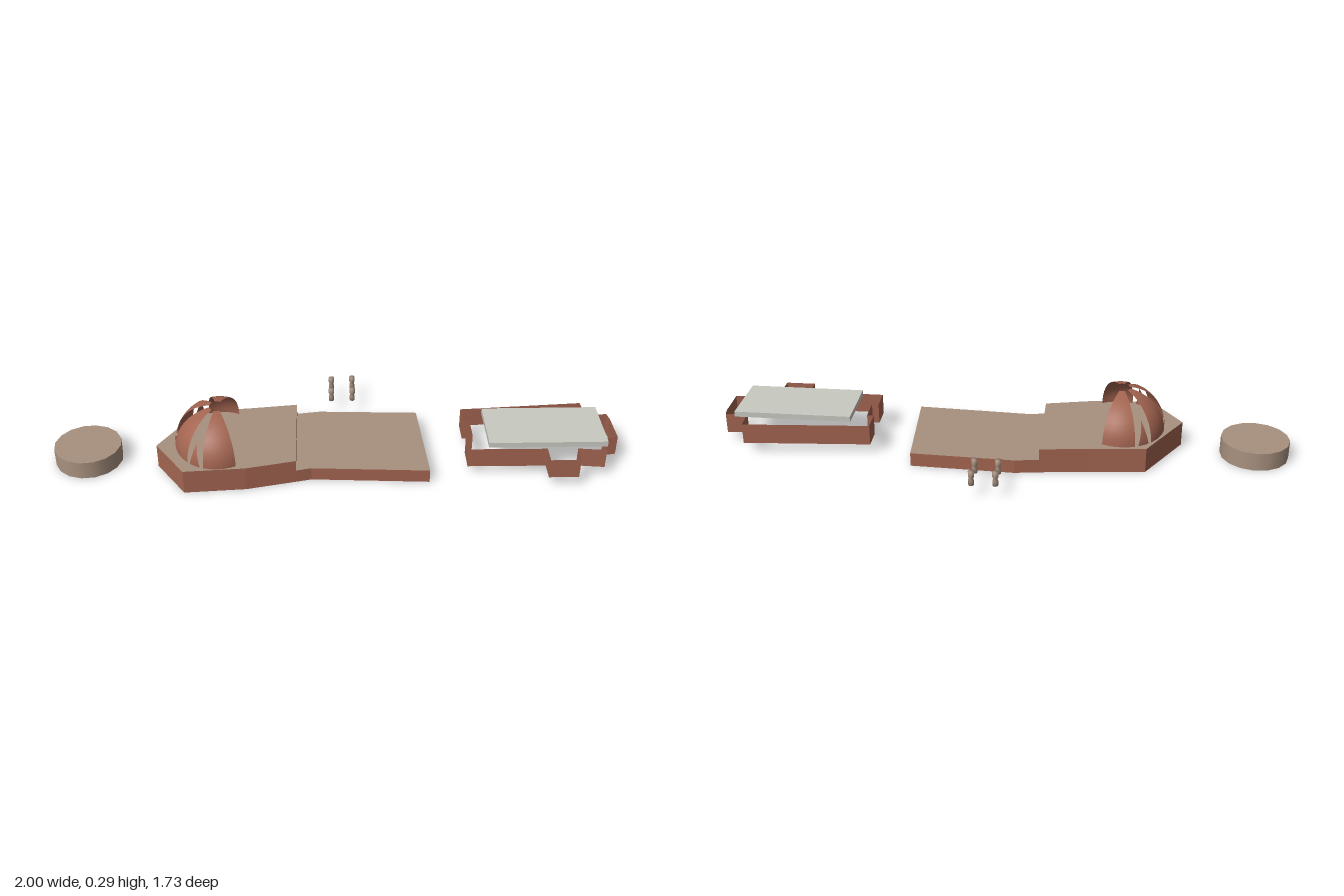
import * as THREE from 'three';

const mat = (name, color, opts = {}) => {
  const m = new THREE.MeshStandardMaterial({ color, side: THREE.DoubleSide, ...opts });
  m.name = name;
  return m;
};

export function createModel() {
  const root = new THREE.Group();
  const brick = mat('brick red', 0xa26450);
  const stone = mat('tan stone', 0xa8917f);
  const slab = mat('pale slab', 0xc8c9c1);
  const slate = mat('dark slate', 0x2e353f, { flatShading: true });

  const add = (name, geo, material, parent = root) => {
    const m = new THREE.Mesh(geo, material);
    m.name = name;
    parent.add(m);
    return m;
  };

  // Flat horizontal polygon at height y, facing up
  const deck = (pts, y) => {
    const shape = new THREE.Shape(pts.map(([x, z]) => new THREE.Vector2(x, -z)));
    return new THREE.ShapeGeometry(shape).rotateX(-Math.PI / 2).translate(0, y, 0);
  };

  // Thin vertical wall that follows a plan outline
  const wall = (pts, y0, y1, closed = true) => {
    const pos = [];
    const n = closed ? pts.length : pts.length - 1;
    for (let i = 0; i < n; i++) {
      const [ax, az] = pts[i], [bx, bz] = pts[(i + 1) % pts.length];
      pos.push(ax, y0, az, ax, y1, az, bx, y1, bz, ax, y0, az, bx, y1, bz, bx, y0, bz);
    }
    const g = new THREE.BufferGeometry();
    g.setAttribute('position', new THREE.Float32BufferAttribute(pos, 3));
    g.computeVertexNormals();
    return g;
  };

  // Two stepped terraces, open underneath
  const stepA = [0.02, -0.32], stepB = [-0.265, 0.02];
  const upper = [stepB, [-0.46, -0.08], [-0.675, -0.235], [-0.65, -0.47],
    [-0.355, -0.57], [-0.15, -0.43], stepA];
  const lower = [stepA, [0.11, -0.265], [0.44, 0.035], [0.17, 0.4], [-0.205, 0.05], stepB];
  add('upperTerraceTop', deck(upper, 0.11), stone);
  add('upperTerraceWall', wall(upper, 0, 0.11, false), brick);
  add('terraceStep', wall([stepA, stepB], 0.06, 0.11, false), brick);
  add('lowerTerraceTop', deck(lower, 0.06), stone);
  add('lowerTerraceWall', wall(lower, 0, 0.06, false), brick);

  // Round plinth, open underneath
  const plinth = new THREE.Group();
  plinth.name = 'roundPlinth';
  plinth.position.set(-0.85, 0, -0.717);
  root.add(plinth);
  add('plinthWall', new THREE.CylinderGeometry(0.147, 0.147, 0.08, 16, 1, true).translate(0, 0.04, 0), stone, plinth);
  add('plinthTop', new THREE.CircleGeometry(0.147, 16).rotateX(-Math.PI / 2).translate(0, 0.08, 0), stone, plinth);

  // Broken dome: curved panels with shards standing in the gaps
  const dome = new THREE.Group();
  dome.name = 'dome';
  dome.position.set(-0.417, 0.11, -0.327);
  root.add(dome);
  const axis = THREE.MathUtils.degToRad(-141);
  const domePoint = (deg, t) => {
    const a = THREE.MathUtils.degToRad(deg);
    const r = Math.cos(t) / Math.hypot(Math.cos(a) / 0.19, Math.sin(a) / 0.222);
    return [r * Math.cos(a + axis), 0.178 * Math.sin(t), r * Math.sin(a + axis)];
  };
  // Patch between two bearings, rising to elevation top and narrowing by taper
  const domePatch = (from, to, top, taper) => {
    const cols = 8, rows = 10, pos = [], idx = [];
    const mid = (from + to) / 2, half = (to - from) / 2;
    for (let j = 0; j <= rows; j++) {
      const k = j / rows;
      for (let i = 0; i <= cols; i++) {
        pos.push(...domePoint(mid + half * (2 * i / cols - 1) * (1 - taper * k), top * k));
      }
    }
    for (let j = 0; j < rows; j++) {
      for (let i = 0; i < cols; i++) {
        const a = j * (cols + 1) + i, b = a + cols + 1;
        idx.push(a, b, a + 1, b, b + 1, a + 1);
      }
    }
    const g = new THREE.BufferGeometry();
    g.setAttribute('position', new THREE.Float32BufferAttribute(pos, 3));
    g.setIndex(idx);
    g.computeVertexNormals();
    return g;
  };
  for (const [from, to] of [[-112, -75], [-53, -13], [13, 53], [75, 112]]) {
    add('domePanel', domePatch(from, to, 1.4, 0), brick, dome);
  }
  for (const mid of [-64, 0, 64]) {
    add('domeShard', domePatch(mid - 7, mid + 7, 0.58, 0.98), brick, dome);
  }
  add('altarCone', new THREE.ConeGeometry(0.028, 0.056, 7).translate(0, 0.028, 0), slate, dome);

  // Four small waisted posts
  const postProfile = [[0, 0.055], [0.012, 0.055], [0.012, 0.078], [0.009, 0.086],
    [0.013, 0.094], [0.013, 0.118], [0, 0.118]].map(([r, y]) => new THREE.Vector2(r, y));
  for (const [x, z] of [[0.222, -0.312], [0.286, -0.387], [0.365, -0.328], [0.298, -0.25]]) {
    add('post', new THREE.LatheGeometry(postProfile, 8), stone).position.set(x, 0, z);
  }

  // Thin-walled enclosure with a side bay and a projecting end
  const enclosure = [[0.53, 0.227], [0.98, 0.55], [0.92, 0.63], [0.998, 0.687], [0.98, 0.72],
    [0.89, 0.833], [0.83, 0.8], [0.775, 0.865], [0.69, 0.775], [0.635, 0.838], [0.535, 0.755],
    [0.59, 0.69], [0.33, 0.47], [0.395, 0.391], [0.418, 0.41], [0.488, 0.325], [0.465, 0.306]];
  add('enclosureWall', wall(enclosure, 0.045, 0.135), brick);

  // Roof slab over the enclosure
  const roof = new THREE.BoxGeometry(0.515, 0.024, 0.273);
  const roofMesh = add('roofSlab', roof, slab);
  roofMesh.position.set(0.69, 0.147, 0.579);
  roofMesh.rotation.y = -Math.atan2(0.33, 0.395);

  return root;
}
